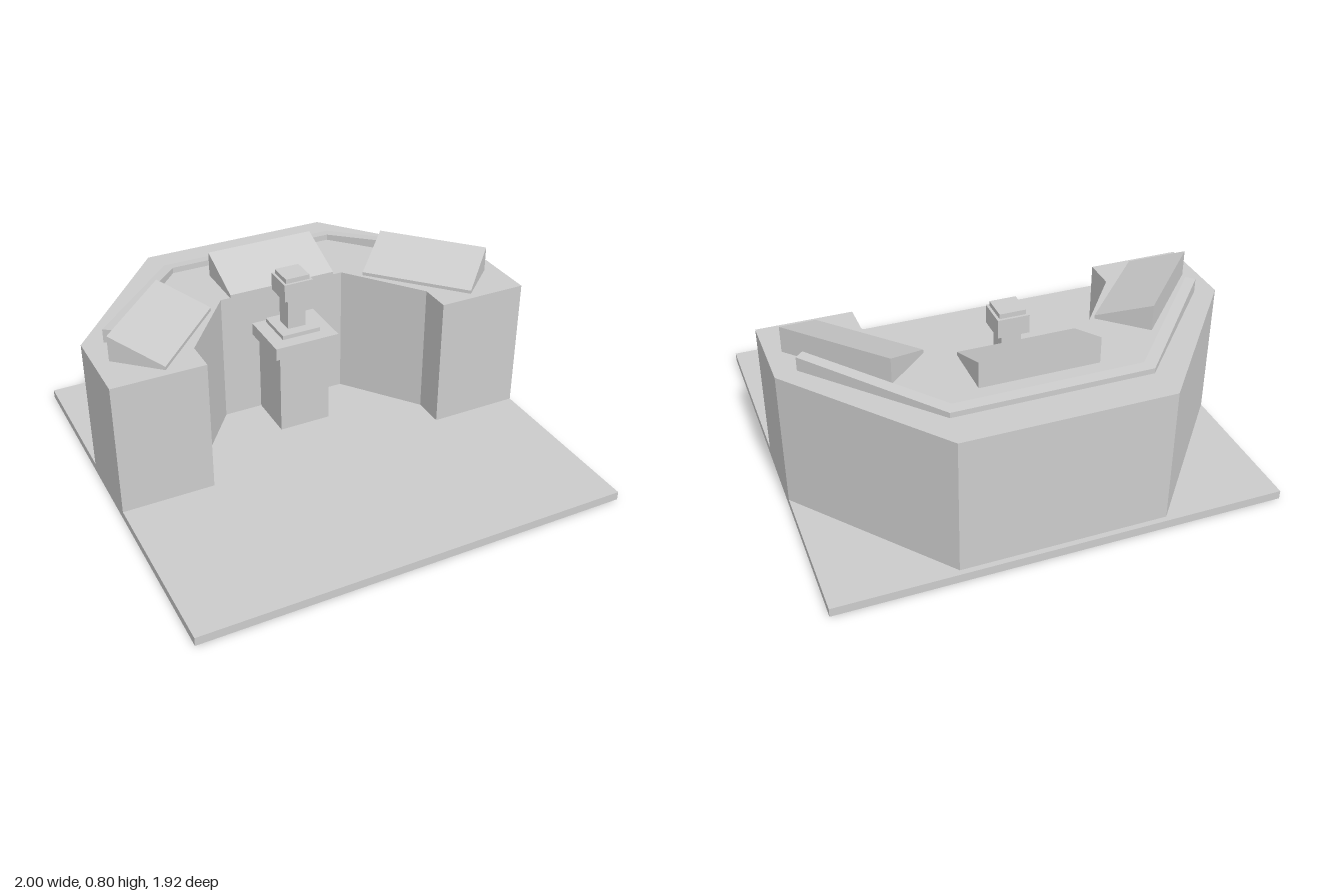
import * as THREE from 'three';

const grey = new THREE.MeshStandardMaterial({ color: 0xcccccc, flatShading: true });

function addMesh(parent, name, geometry, x = 0, y = 0, z = 0) {
  const mesh = new THREE.Mesh(geometry, grey);
  mesh.name = name;
  mesh.position.set(x, y, z);
  parent.add(mesh);
  return mesh;
}

// box standing on y0
function addBlock(parent, name, w, y0, y1, d, z) {
  return addMesh(parent, name, new THREE.BoxGeometry(w, y1 - y0, d), 0, (y0 + y1) / 2, z);
}

// closed plan symmetric in x, from its [x, z] right half, extruded upwards
function mirroredPrism(half, height) {
  const plan = [...half, ...half.map(([x, z]) => [-x, z]).reverse()];
  const shape = new THREE.Shape(plan.map(([x, z]) => new THREE.Vector2(x, -z)));
  return new THREE.ExtrudeGeometry(shape, { depth: height, bevelEnabled: false }).rotateX(-Math.PI / 2);
}

// sloping panel: low lip in front, tall at the back
function panelGeometry(w, d, lip, tall) {
  const profile = new THREE.Shape([
    new THREE.Vector2(-d / 2, 0), new THREE.Vector2(d / 2, 0),
    new THREE.Vector2(d / 2, tall), new THREE.Vector2(-d / 2, lip),
  ]);
  return new THREE.ExtrudeGeometry(profile, { depth: w, bevelEnabled: false })
    .translate(0, 0, -w / 2).rotateY(Math.PI / 2);
}

export function createModel() {
  const model = new THREE.Group();
  model.name = 'controlStation';
  const deskTop = 0.67;

  // floor plate
  addBlock(model, 'floor', 2, 0, 0.04, 1.92, 0);

  // wrap-around desk
  const desk = [[0.31, -0.375], [0.575, -0.03], [0.575, 0.12], [1, 0.12], [1, -0.27], [0.46, -0.935]];
  addMesh(model, 'desk', mirroredPrism(desk, deskTop - 0.04), 0, 0.04, 0);

  // raised rail along the desk, its top sloping down to the back
  const rail = mirroredPrism([[0.41, -0.725], [0.87, -0.22], [0.905, -0.25], [0.435, -0.775]], 0.05);
  const p = rail.attributes.position;
  for (let i = 0; i < p.count; i++) {
    if (p.getY(i) > 0.01) p.setY(i, 0.0825 + 0.075 * p.getZ(i));
  }
  rail.computeVertexNormals();
  addMesh(model, 'rail', rail, 0, deskTop, 0);

  // three sloping control panels
  const panel = panelGeometry(0.527, 0.255, 0.016, 0.12);
  addMesh(model, 'centrePanel', panel, 0, deskTop, -0.498);
  for (const [name, side] of [['leftPanel', 1], ['rightPanel', -1]]) {
    addMesh(model, name, panel, side * 0.66, deskTop, -0.197).rotation.y = -side * 0.825;
  }

  // pedestal with stepped top, stem and capped head
  const pedestal = new THREE.Group();
  pedestal.name = 'pedestal';
  pedestal.position.z = -0.265;
  model.add(pedestal);
  const tiers = [
    ['post', 0.25, 0.04, 0.45],
    ['slab', 0.316, 0.45, 0.51],
    ['step', 0.19, 0.51, 0.53],
    ['stem', 0.09, 0.53, 0.688],
    ['head', 0.142, 0.688, 0.773],
    ['cap', 0.118, 0.773, 0.795],
  ];
  for (const [name, w, y0, y1] of tiers) addBlock(pedestal, name, w, y0, y1, w, 0);

  return model;
}
